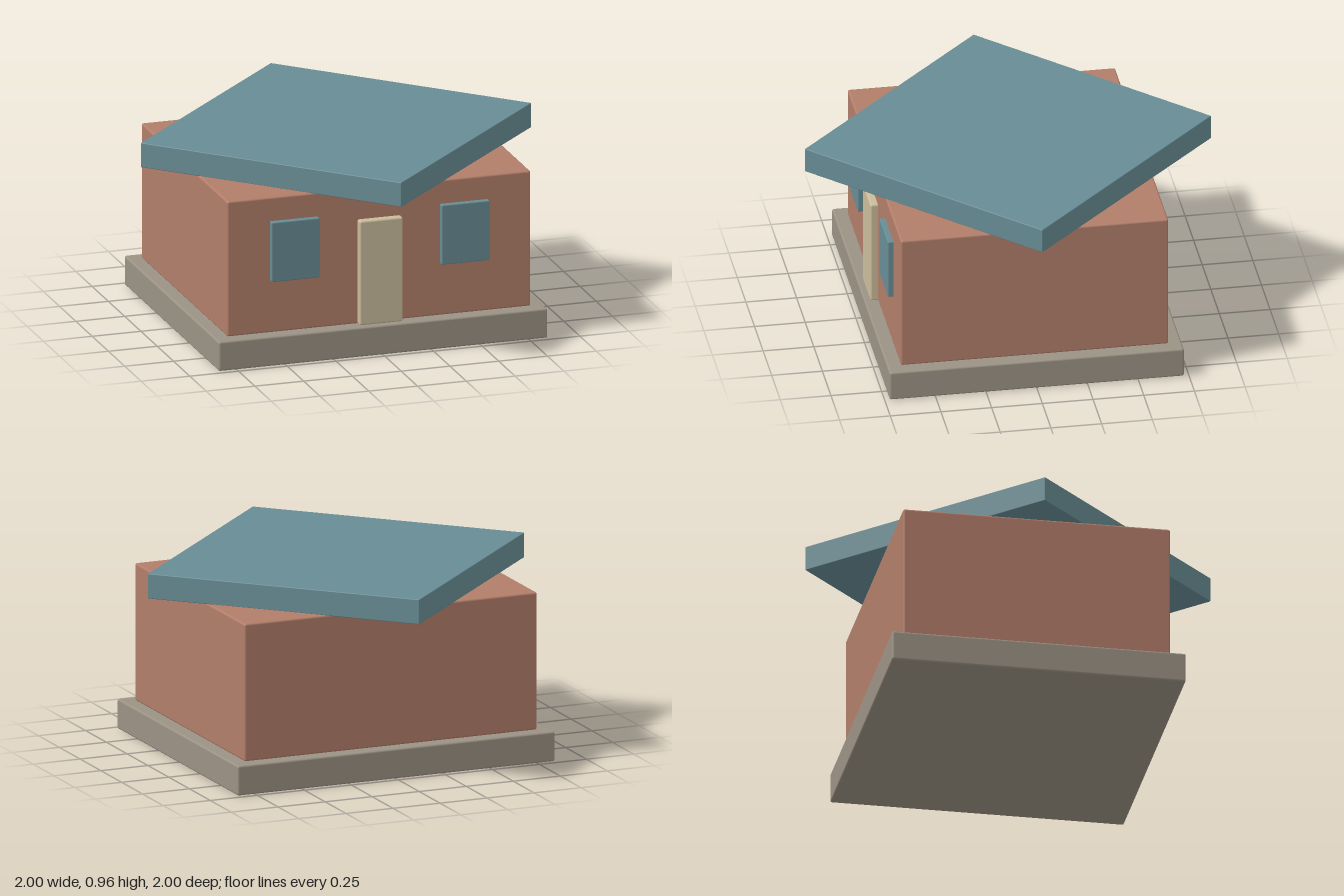
import * as THREE from 'three';
import { RoundedBoxGeometry } from 'three/addons/geometries/RoundedBoxGeometry.js';

const flat = (name, color) => {
  const m = new THREE.MeshStandardMaterial({ color });
  m.name = name;
  return m;
};

// Softly bevelled box, placed by its bottom centre
function block(name, material, [w, h, d], [x, y, z], bevel = 0.01) {
  const mesh = new THREE.Mesh(new RoundedBoxGeometry(w, h, d, 2, bevel), material);
  mesh.name = name;
  mesh.position.set(x, y + h / 2, z);
  return mesh;
}

export function createModel() {
  const stone = flat('stone', 0x9b9284);
  const clay = flat('clay', 0xb27e6a);
  const teal = flat('teal', 0x688c94);
  const cream = flat('cream', 0xcabc9c);

  const house = new THREE.Group();
  house.name = 'house';

  // Plinth and walls
  house.add(block('base', stone, [1.686, 0.15, 1.452], [0, 0, 0]));
  house.add(block('walls', clay, [1.556, 0.69, 1.32], [0, 0.15, 0]));

  // Flat square roof, turned so its corners point along the axes
  const side = Math.SQRT2 + 0.003;
  const roof = block('roof', teal, [side, 0.125, side], [0, 0.838, 0], 0.004);
  roof.rotation.y = Math.PI / 4;
  house.add(roof);

  // Door and the two windows on the front wall
  house.add(block('door', cream, [0.222, 0.533, 0.045], [0, 0.15, 0.675]));
  for (const [name, s] of [['leftWindow', 1], ['rightWindow', -1]]) {
    house.add(block(name, teal, [0.247, 0.305, 0.037], [s * 0.436, 0.414, 0.669], 0.006));
  }

  return house;
}
